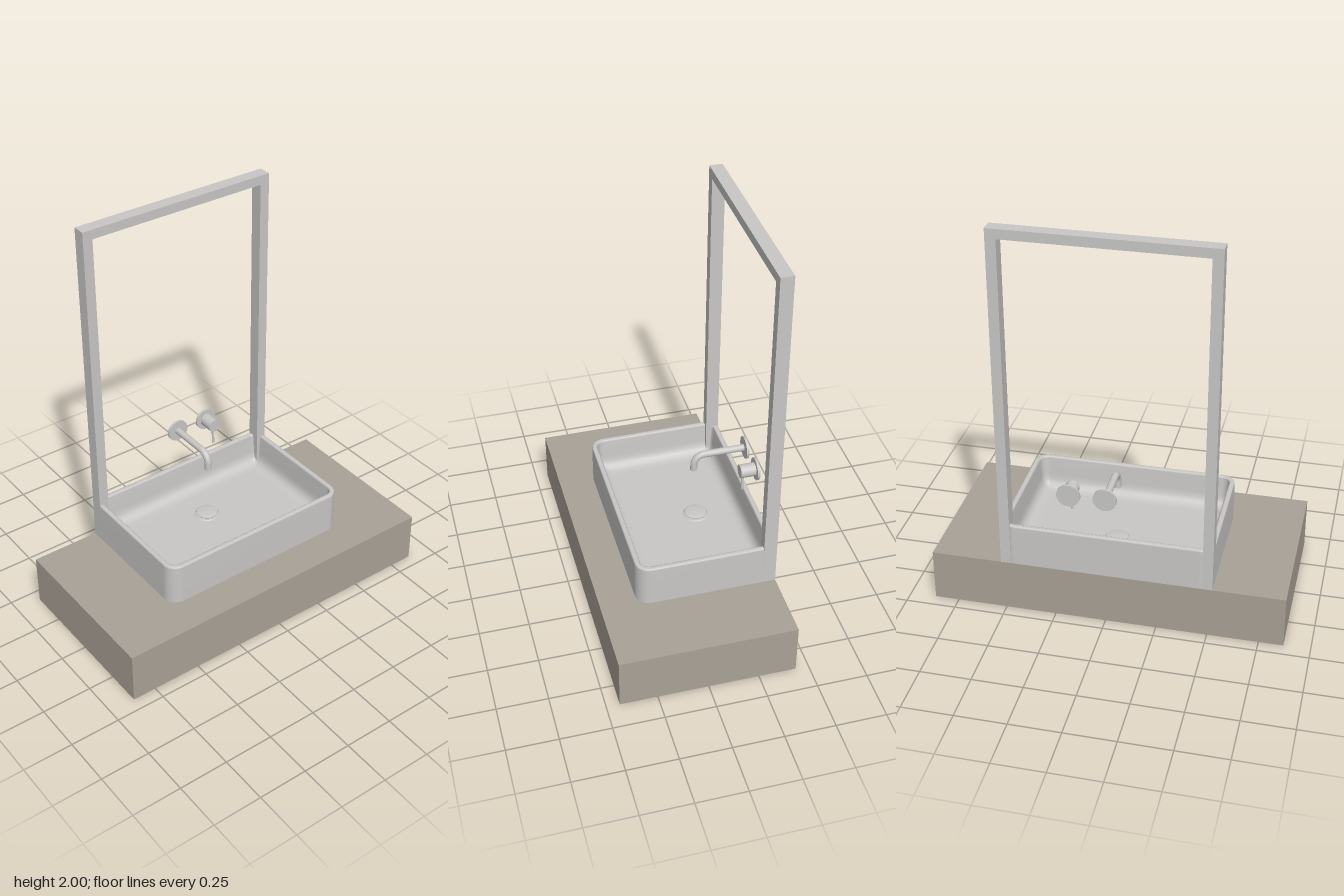
import * as THREE from 'three';

const ceramic = new THREE.MeshStandardMaterial({ name: 'pale grey', color: 0xc8c7c5 });
const stone = new THREE.MeshStandardMaterial({ name: 'warm stone', color: 0xa9a196 });

function add(parent, name, geometry, material, x = 0, y = 0, z = 0) {
  const mesh = new THREE.Mesh(geometry, material);
  mesh.name = name;
  mesh.position.set(x, y, z);
  parent.add(mesh);
  return mesh;
}

// Disc or rod whose axis runs along z, from z0 to z1
function rodZ(parent, name, radius, x, y, z0, z1) {
  const geometry = new THREE.CylinderGeometry(radius, radius, z1 - z0, 40).rotateX(Math.PI / 2);
  return add(parent, name, geometry, ceramic, x, y, (z0 + z1) / 2);
}

// Rounded-rectangle rings joined into one open-topped bowl; each ring is [inset, height]
function bowlGeometry(halfX, halfZ, cornerRadius, rings) {
  const steps = 10;
  const count = 4 * (steps + 1);
  const positions = [];
  const index = [];
  for (const [inset, y] of rings) {
    const r = Math.max(cornerRadius - inset, 0.02);
    for (let corner = 0; corner < 4; corner++) {
      const sx = corner === 0 || corner === 3 ? 1 : -1;
      const sz = corner < 2 ? 1 : -1;
      for (let s = 0; s <= steps; s++) {
        const a = (corner + s / steps) * Math.PI / 2;
        positions.push(
          sx * (halfX - inset - r) + r * Math.cos(a), y,
          sz * (halfZ - inset - r) + r * Math.sin(a));
      }
    }
  }
  for (let i = 0; i < rings.length - 1; i++) {
    for (let j = 0; j < count; j++) {
      const a = i * count + j;
      const b = i * count + (j + 1) % count;
      index.push(a, a + count, b, b, a + count, b + count);
    }
  }
  // Floor fan
  const center = rings.length * count;
  positions.push(0, rings[rings.length - 1][1], 0);
  for (let j = 0; j < count; j++) {
    index.push(center - count + j, center, center - count + (j + 1) % count);
  }
  const geometry = new THREE.BufferGeometry();
  geometry.setAttribute('position', new THREE.Float32BufferAttribute(positions, 3));
  geometry.setIndex(index);
  geometry.computeVertexNormals();
  return geometry;
}

export function createModel() {
  const model = new THREE.Group();
  model.name = 'washbasin';

  // Stone counter slab
  add(model, 'counter', new THREE.BoxGeometry(1.74, 0.265, 0.87), stone, 0, 0.1325, 0);

  // Basin: outer wall, rounded rim, inner wall, filleted floor
  const rings = [
    [0, 0.265], [0, 0.472], [0.002, 0.478], [0.007, 0.481], [0.02, 0.481], [0.025, 0.479],
    [0.028, 0.472], [0.034, 0.38], [0.038, 0.352], [0.048, 0.332], [0.064, 0.319],
    [0.085, 0.314], [0.11, 0.312],
  ];
  add(model, 'basin', bowlGeometry(0.52, 0.345, 0.07, rings), ceramic, 0, 0, -0.09);

  // Upright frame behind the basin
  const frame = new THREE.Group();
  frame.name = 'frame';
  model.add(frame);
  for (const side of [-1, 1]) {
    add(frame, side > 0 ? 'leftPost' : 'rightPost',
      new THREE.BoxGeometry(0.05, 1.735, 0.065), ceramic, side * 0.495, 1.1325, -0.4025);
  }
  add(frame, 'topBar', new THREE.BoxGeometry(0.94, 0.047, 0.065), ceramic, 0, 1.9765, -0.4025);

  // Spout with wall plate
  const spout = new THREE.Group();
  spout.name = 'spout';
  model.add(spout);
  rodZ(spout, 'spoutPlate', 0.057, 0, 0.693, -0.435, -0.423);
  const path = new THREE.CurvePath();
  const v = (y, z) => new THREE.Vector3(0, y, z);
  path.add(new THREE.LineCurve3(v(0.693, -0.43), v(0.693, -0.22)));
  path.add(new THREE.CubicBezierCurve3(
    v(0.693, -0.22), v(0.693, -0.19), v(0.668, -0.165), v(0.638, -0.165)));
  path.add(new THREE.LineCurve3(v(0.638, -0.165), v(0.605, -0.165)));
  add(spout, 'spoutPipe', new THREE.TubeGeometry(path, 60, 0.0175, 24), ceramic);
  add(spout, 'spoutMouth', new THREE.CircleGeometry(0.0175, 24).rotateX(Math.PI / 2),
    ceramic, 0, 0.605, -0.165);

  // Mixer handle with thin lever
  const handle = new THREE.Group();
  handle.name = 'handle';
  model.add(handle);
  rodZ(handle, 'handlePlate', 0.057, 0.175, 0.693, -0.435, -0.423);
  rodZ(handle, 'handleKnob', 0.034, 0.175, 0.693, -0.423, -0.347);
  add(handle, 'lever', new THREE.CylinderGeometry(0.0065, 0.0065, 0.11, 16),
    ceramic, 0.175, 0.635, -0.363);

  // Drain: seat ring, neck and domed cap
  const drain = new THREE.Group();
  drain.name = 'drain';
  drain.position.set(0, 0.312, -0.178);
  model.add(drain);
  add(drain, 'drainSeat', new THREE.CylinderGeometry(0.06, 0.064, 0.004, 40), ceramic, 0, 0.002, 0);
  add(drain, 'drainNeck', new THREE.CylinderGeometry(0.045, 0.045, 0.01, 40), ceramic, 0, 0.007, 0);
  const cap = [[0, 0.009], [0.054, 0.009], [0.056, 0.012], [0.053, 0.015], [0.03, 0.018], [0, 0.019]];
  add(drain, 'drainCap',
    new THREE.LatheGeometry(cap.map(([x, y]) => new THREE.Vector2(x, y)), 40), ceramic);

  return model;
}
